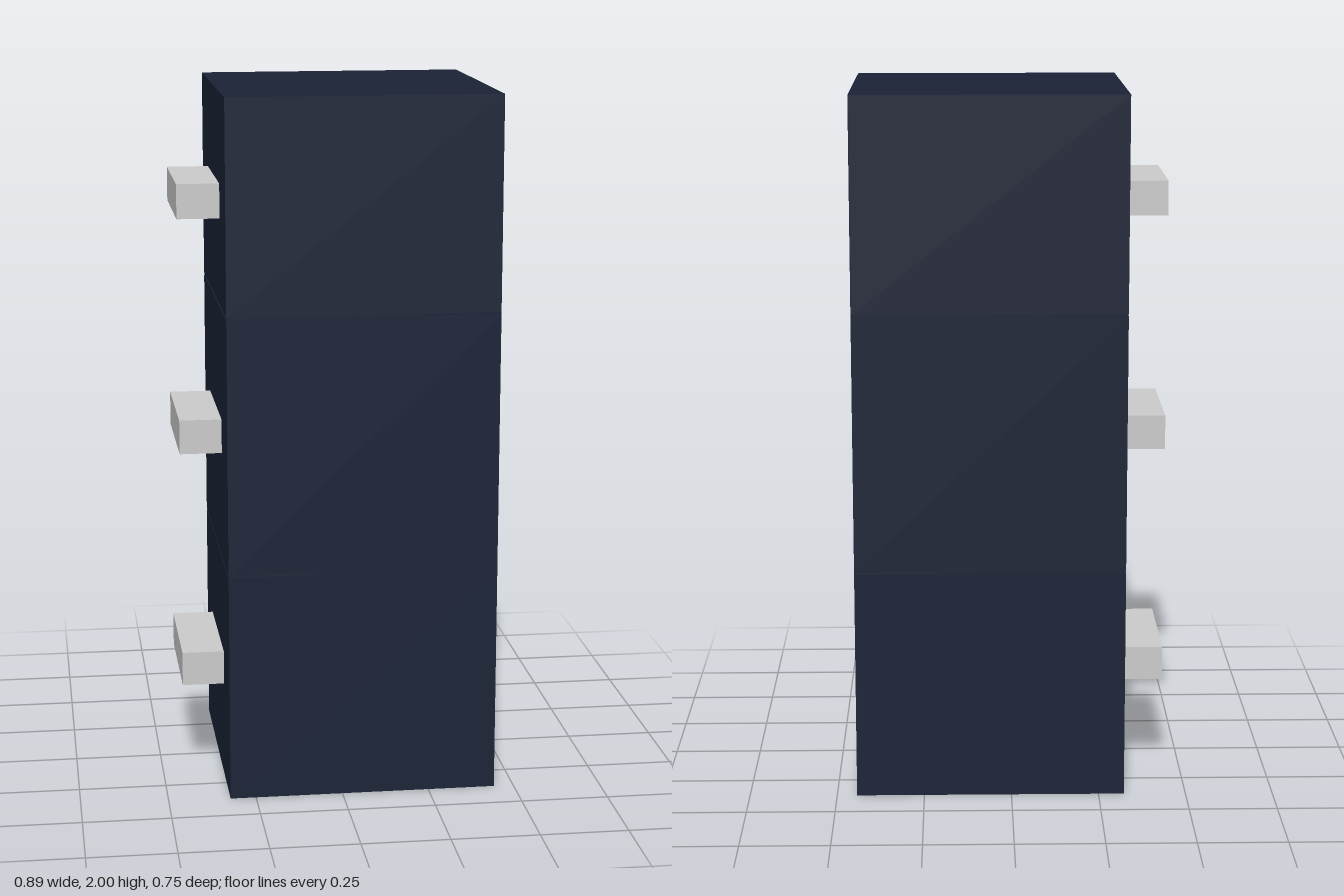
import * as THREE from 'three';

const navy = new THREE.MeshStandardMaterial({ color: 0x1a2236 });
const grey = new THREE.MeshStandardMaterial({ color: 0xcccccc });

// Box given by its min and max corners
function box(name, material, [x0, y0, z0], [x1, y1, z1]) {
  const mesh = new THREE.Mesh(new THREE.BoxGeometry(x1 - x0, y1 - y0, z1 - z0), material);
  mesh.position.set((x0 + x1) / 2, (y0 + y1) / 2, (z0 + z1) / 2);
  mesh.name = name;
  return mesh;
}

export function createModel() {
  const group = new THREE.Group();
  group.name = 'drawerCabinet';

  const left = 0.443, right = -0.323, depth = 0.375, seam = 0.003;

  // Core that closes the narrow seams between the drawers
  group.add(box('core', navy, [right + 0.012, 0.1, -depth + 0.004], [left - 0.004, 1.9, depth - 0.004]));

  // Three stacked drawers, each with a block handle on the right side
  const levels = [
    { bottom: 0, top: 0.66, handle: 0.333 },
    { bottom: 0.66, top: 1.395, handle: 1.023 },
    { bottom: 1.395, top: 2, handle: 1.695 },
  ];
  levels.forEach(({ bottom, top, handle }, i) => {
    const y0 = i === 0 ? bottom : bottom + seam;
    const y1 = i === levels.length - 1 ? top : top - seam;
    const drawer = new THREE.Group();
    drawer.name = `drawer${i + 1}`;
    drawer.add(
      box('drawerBody', navy, [right, y0, -depth], [left - 0.002, y1, depth]),
      box('handle', grey, [-0.443, handle - 0.049, -0.192], [right + 0.005, handle + 0.049, 0.192]),
    );
    group.add(drawer);
  });

  // Plain panel covering the side opposite the handles
  group.add(box('backPanel', navy, [left - 0.002, 0, -depth], [left, 2, depth]));

  return group;
}
